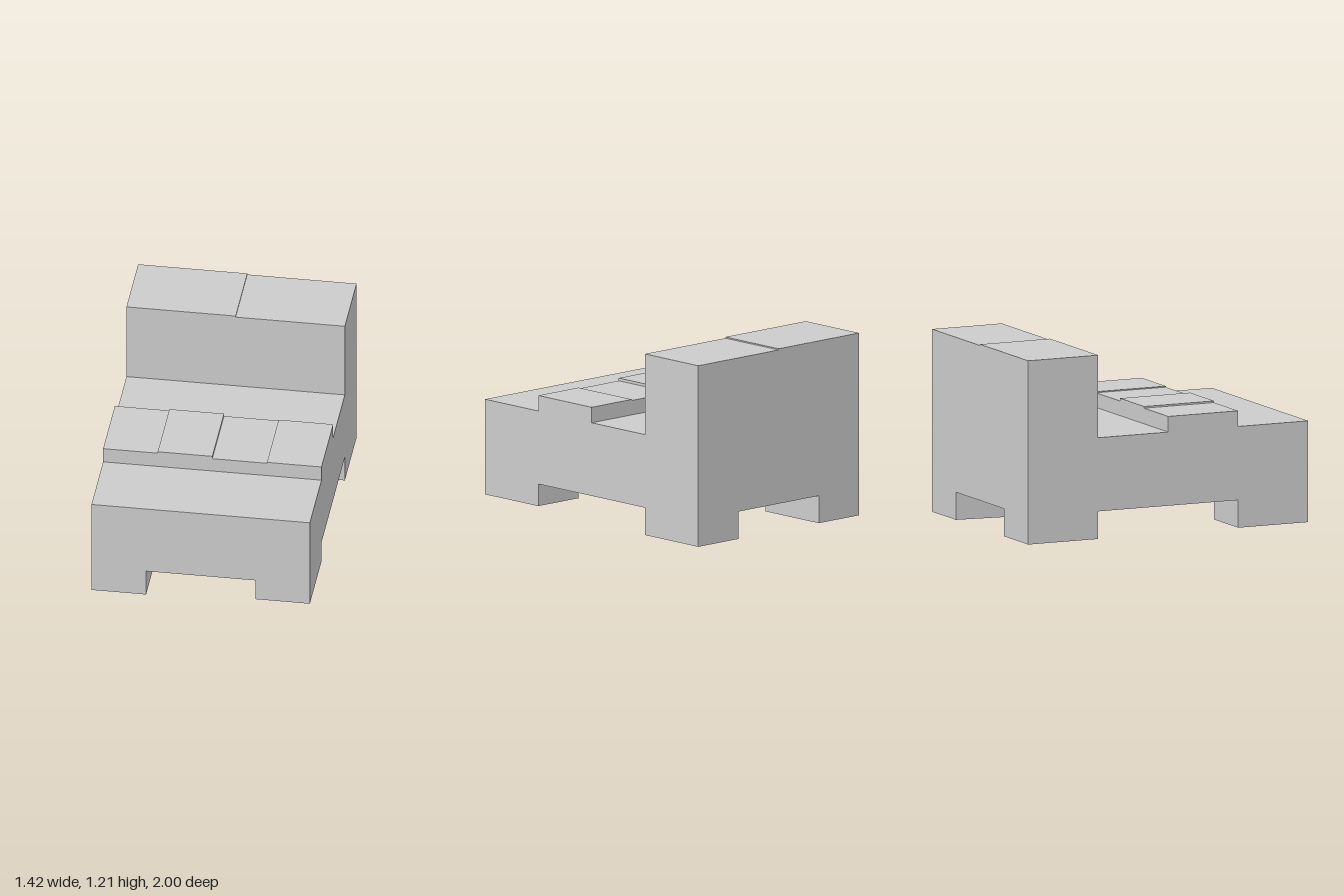
import * as THREE from 'three';

const W = 0.71, H = W / 2;      // half width, quarter width
const UNDER = 0.19, SEAT = 0.67;

export function createModel() {
  const model = new THREE.Group();
  const material = new THREE.MeshStandardMaterial({ color: 0xcccccc, flatShading: true });

  // Box given by its limits on each axis
  const block = (name, [x0, x1], [y0, y1], [z0, z1]) => {
    const mesh = new THREE.Mesh(new THREE.BoxGeometry(x1 - x0, y1 - y0, z1 - z0), material);
    mesh.name = name;
    mesh.position.set((x0 + x1) / 2, (y0 + y1) / 2, (z0 + z1) / 2);
    model.add(mesh);
    return mesh;
  };

  // Seat slab
  block('seat', [-W, W], [UNDER, SEAT], [-1, 1]);

  // Backrest in two halves of slightly different height
  block('backrestRight', [-W, 0], [SEAT, 1.208], [-1, -0.5]);
  block('backrestLeft', [0, W], [SEAT, 1.2], [-1, -0.5]);

  // Raised band across the seat, four uneven panels
  [0.772, 0.783, 0.765, 0.772].forEach((top, i) => {
    const x = -W + i * H;
    block('raisedPanel' + (i + 1), [x, x + H], [SEAT, top], [0, 0.5]);
  });

  // Four corner legs; the front left one is shorter
  block('frontRightLeg', [-W, -H], [0.01, UNDER], [0.5, 1]);
  block('frontLeftLeg', [H, W], [0.045, UNDER], [0.5, 1]);
  block('backRightLeg', [-W, -H], [0.01, UNDER], [-1, -0.5]);
  const worn = block('backLeftLeg', [H, W], [0.01, UNDER], [-1, -0.5]);

  // The inner front corner of the back left leg reaches the ground
  const p = worn.geometry.attributes.position;
  for (let i = 0; i < p.count; i++) {
    if (p.getX(i) < 0 && p.getY(i) < 0 && p.getZ(i) > 0) p.setY(i, p.getY(i) - 0.01);
  }
  worn.geometry.computeVertexNormals();

  return model;
}
